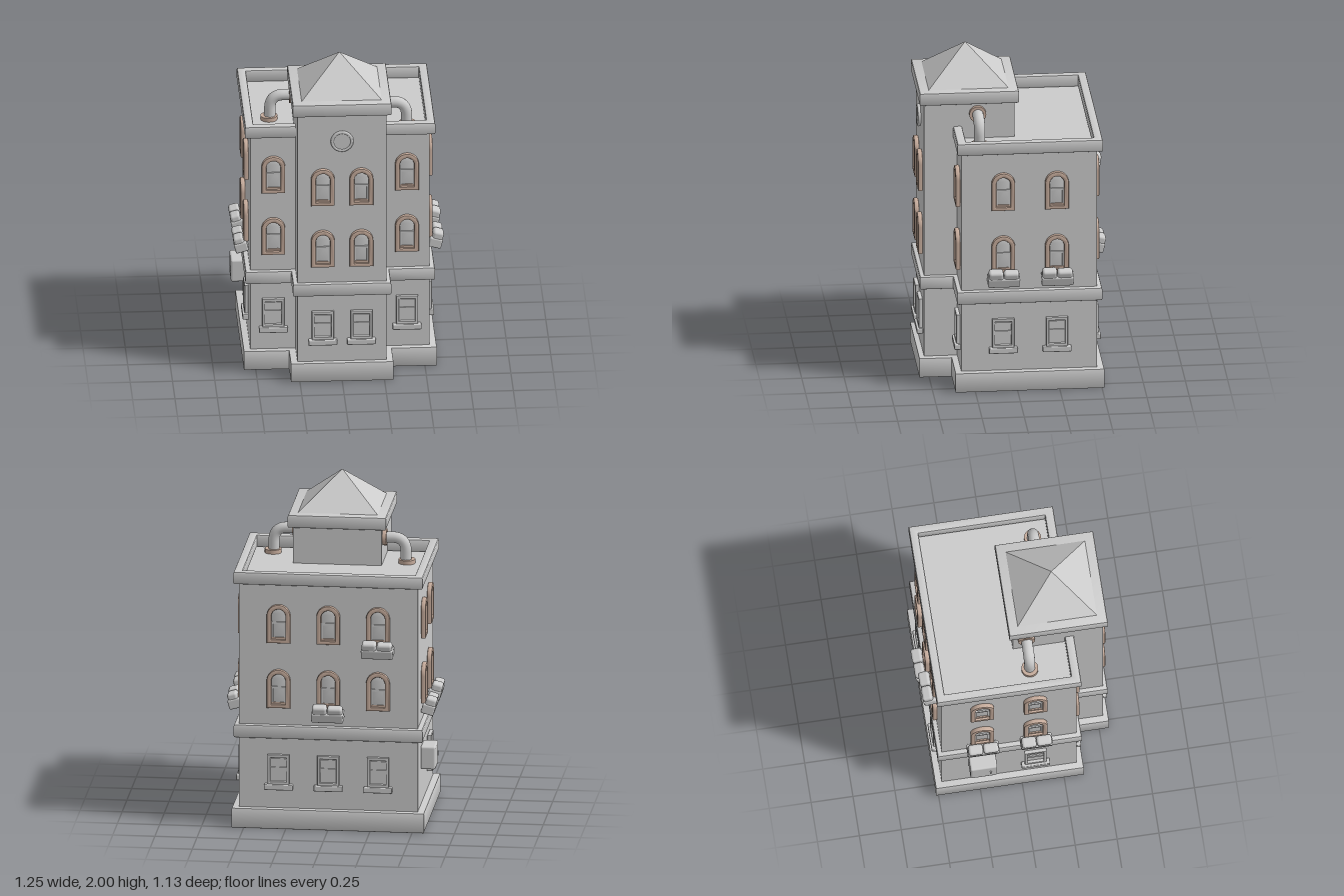
import * as THREE from 'three';
import { toCreasedNormals } from 'three/addons/utils/BufferGeometryUtils.js';
import { RoundedBoxGeometry } from 'three/addons/geometries/RoundedBoxGeometry.js';

const grey = new THREE.MeshStandardMaterial({ color: 0xcccccc });
const rusty = new THREE.MeshStandardMaterial({ color: 0xc6ac9c });

function add(parent, name, geo, x = 0, y = 0, z = 0, mat = grey) {
  const mesh = new THREE.Mesh(geo, mat);
  mesh.name = name;
  mesh.position.set(x, y, z);
  parent.add(mesh);
  return mesh;
}

const box = (w, h, d) => new THREE.BoxGeometry(w, h, d);
const soft = (w, h, d, r) => new RoundedBoxGeometry(w, h, d, 2, r);

// Extrusion whose bevel stays inside the drawn outline
function extrude(shape, depth, bevel) {
  const geo = new THREE.ExtrudeGeometry(shape, {
    depth: depth - 2 * bevel, bevelThickness: bevel, bevelSize: bevel,
    bevelOffset: -bevel, bevelSegments: 2, curveSegments: 12,
  });
  geo.translate(0, 0, bevel);
  return toCreasedNormals(geo, 0.6);
}

const polygon = (pts) => new THREE.Shape(pts.map(([x, z]) => new THREE.Vector2(x, -z)));
const rect = (w, z0, z1) => [[-w, z0], [-w, z1], [w, z1], [w, z0]];

// Plan of main block with the projecting tower
const plan = (w, back, front, tw, tFront) => polygon([
  [-w, back], [-w, front], [-tw, front], [-tw, tFront],
  [tw, tFront], [tw, front], [w, front], [w, back],
]);

function slab(shape, y0, y1, bevel) {
  return extrude(shape, y1 - y0, bevel).rotateX(-Math.PI / 2).translate(0, y0, 0);
}

// Upright outline with an arched or flat head, its foot at y
function opening(w, y, h, arched, Type = THREE.Shape) {
  const s = new Type(), r = w / 2;
  s.moveTo(-r, y);
  s.lineTo(r, y);
  if (arched) {
    s.lineTo(r, y + h - r);
    s.absarc(0, y + h - r, r, 0, Math.PI, false);
  } else {
    s.lineTo(r, y + h);
    s.lineTo(-r, y + h);
  }
  s.closePath();
  return s;
}

function frameGeometry(w, h, inW, inY, inH, arched, depth) {
  const s = opening(w, 0, h, arched);
  s.holes.push(opening(inW, inY, inH, arched, THREE.Path));
  return extrude(s, depth, 0.006);
}

const archFrame = frameGeometry(0.14, 0.235, 0.084, 0.022, 0.185, true, 0.028);
const archPane = extrude(opening(0.09, 0.015, 0.195, true), 0.006, 0.001);
const flatFrame = frameGeometry(0.13, 0.185, 0.096, 0.02, 0.145, false, 0.024);

function archWindow() {
  const g = new THREE.Group();
  g.name = 'archedWindow';
  add(g, 'windowFrame', archFrame, 0, 0, 0, rusty);
  add(g, 'windowPane', archPane);
  add(g, 'meetingRail', box(0.084, 0.013, 0.014), 0, 0.123, 0.007);
  add(g, 'lowerSashRail', box(0.084, 0.012, 0.014), 0, 0.028, 0.007, rusty);
  for (const s of [-1, 1]) add(g, 'sashStile', box(0.01, 0.1, 0.012), s * 0.037, 0.07, 0.006);
  return g;
}

function groundWindow() {
  const g = new THREE.Group();
  g.name = 'groundWindow';
  add(g, 'windowFrame', flatFrame, 0, 0.03, 0);
  add(g, 'windowSill', soft(0.17, 0.034, 0.036, 0.006), 0, 0.017, 0.018);
  add(g, 'windowPane', box(0.1, 0.15, 0.006), 0, 0.12, 0.003);
  add(g, 'upperRail', box(0.096, 0.01, 0.014), 0, 0.185, 0.007);
  add(g, 'meetingRail', box(0.096, 0.024, 0.014), 0, 0.125, 0.007);
  return g;
}

// Sagging window box with two clumps
function planter() {
  const g = new THREE.Group();
  g.name = 'planter';
  add(g, 'planterBox', soft(0.19, 0.06, 0.078, 0.01), 0, 0, 0);
  add(g, 'planterClump', soft(0.086, 0.06, 0.064, 0.016), -0.047, 0.04, 0.004);
  add(g, 'planterClump', soft(0.09, 0.054, 0.06, 0.016), 0.044, 0.038, 0.004);
  g.rotation.x = 0.27;
  return g;
}

// Wall-mounted utility box
function utilityBox() {
  const g = new THREE.Group();
  g.name = 'utilityBox';
  add(g, 'boxCase', soft(0.16, 0.14, 0.09, 0.012), 0, 0, 0.042);
  add(g, 'boxHandle', box(0.01, 0.03, 0.006), 0.04, 0, 0.089);
  return g;
}

// Roof pipe: out of the tower, round a bend, into the deck
function pipe(side, z) {
  const g = new THREE.Group();
  g.name = 'roofPipe';
  const path = new THREE.CurvePath();
  const v = (x, y) => new THREE.Vector3(side * x, y, z);
  path.add(new THREE.LineCurve3(v(0.25, 1.645), v(0.32, 1.645)));
  path.add(new THREE.QuadraticBezierCurve3(v(0.32, 1.645), v(0.4, 1.645), v(0.4, 1.56)));
  path.add(new THREE.LineCurve3(v(0.4, 1.56), v(0.4, 1.48)));
  add(g, 'pipeTube', new THREE.TubeGeometry(path, 40, 0.033, 16));
  const collar = new THREE.CylinderGeometry(0.05, 0.05, 0.025, 20);
  add(g, 'wallCollar', collar, side * 0.274, 1.645, z, rusty).rotation.z = Math.PI / 2;
  add(g, 'deckCollar', collar, side * 0.405, 1.502, z, rusty);
  return g;
}

export function createModel() {
  const model = new THREE.Group();
  model.name = 'building';

  // Walls, plinth and belt course
  add(model, 'mainBlock', box(1.06, 1.49, 0.805), 0, 0.745, -0.0725);
  add(model, 'tower', box(0.526, 1.75, 0.537), 0, 0.875, 0.2585);
  add(model, 'plinth', slab(plan(0.57, -0.514, 0.367, 0.303, 0.558), 0, 0.12, 0.004));
  add(model, 'beltCourse', slab(plan(0.56, -0.503, 0.357, 0.29, 0.553), 0.548, 0.63, 0.012));

  // Parapet round the roof deck
  const parapet = polygon(rect(0.562, -0.507, 0.355));
  parapet.holes.push(polygon(rect(0.51, -0.455, 0.3)));
  add(model, 'parapet', slab(parapet, 1.49, 1.567, 0.012));

  // Tower cornice and pyramid roof
  add(model, 'towerCornice', slab(polygon(rect(0.292, -0.034, 0.554)), 1.71, 1.79, 0.012));
  const roof = new THREE.ConeGeometry(0.242 * Math.SQRT2, 0.215, 4, 1).rotateY(Math.PI / 4);
  add(model, 'towerRoof', toCreasedNormals(roof, 0.3), 0, 1.8925, 0.26);

  // Round medallion
  add(model, 'medallionRing', new THREE.TorusGeometry(0.058, 0.01, 8, 32), 0, 1.545, 0.535);
  add(model, 'medallionDisc',
    new THREE.CylinderGeometry(0.06, 0.06, 0.03, 32).rotateX(Math.PI / 2), 0, 1.545, 0.525);

  model.add(pipe(-1, 0.07), pipe(1, 0.21));

  // Place a wall fitting: turn is in quarter turns from the front
  const mount = (item, turn, x, y, z) => {
    const holder = new THREE.Group();
    holder.name = item.name + 'Mount';
    holder.rotation.y = turn * Math.PI / 2;
    holder.position.set(x, y, z);
    holder.add(item);
    model.add(holder);
  };

  // Windows: wall turn, x, z
  const columns = [];
  for (const s of [-1, 1]) {
    columns.push([0, s * 0.395, 0.33], [0, s * 0.114, 0.527]);
    for (const z of [-0.235, 0.083]) columns.push([s, s * 0.53, z]);
  }
  for (const x of [-0.295, 0, 0.295]) columns.push([2, x, -0.475]);

  for (const [turn, x, z] of columns) {
    for (const y of [0.737, 1.135]) mount(archWindow(), turn, x, y, z);
    if (turn === -1 && z < 0) mount(utilityBox(), turn, x, 0.405, z);
    else mount(groundWindow(), turn, x, 0.235, z);
  }

  // Planters
  for (const s of [-1, 1]) {
    for (const z of [-0.235, 0.083]) mount(planter(), s, s * 0.574, 0.705, z);
  }
  mount(planter(), 2, 0, 0.705, -0.519);
  mount(planter(), 2, -0.295, 1.105, -0.519);

  return model;
}
